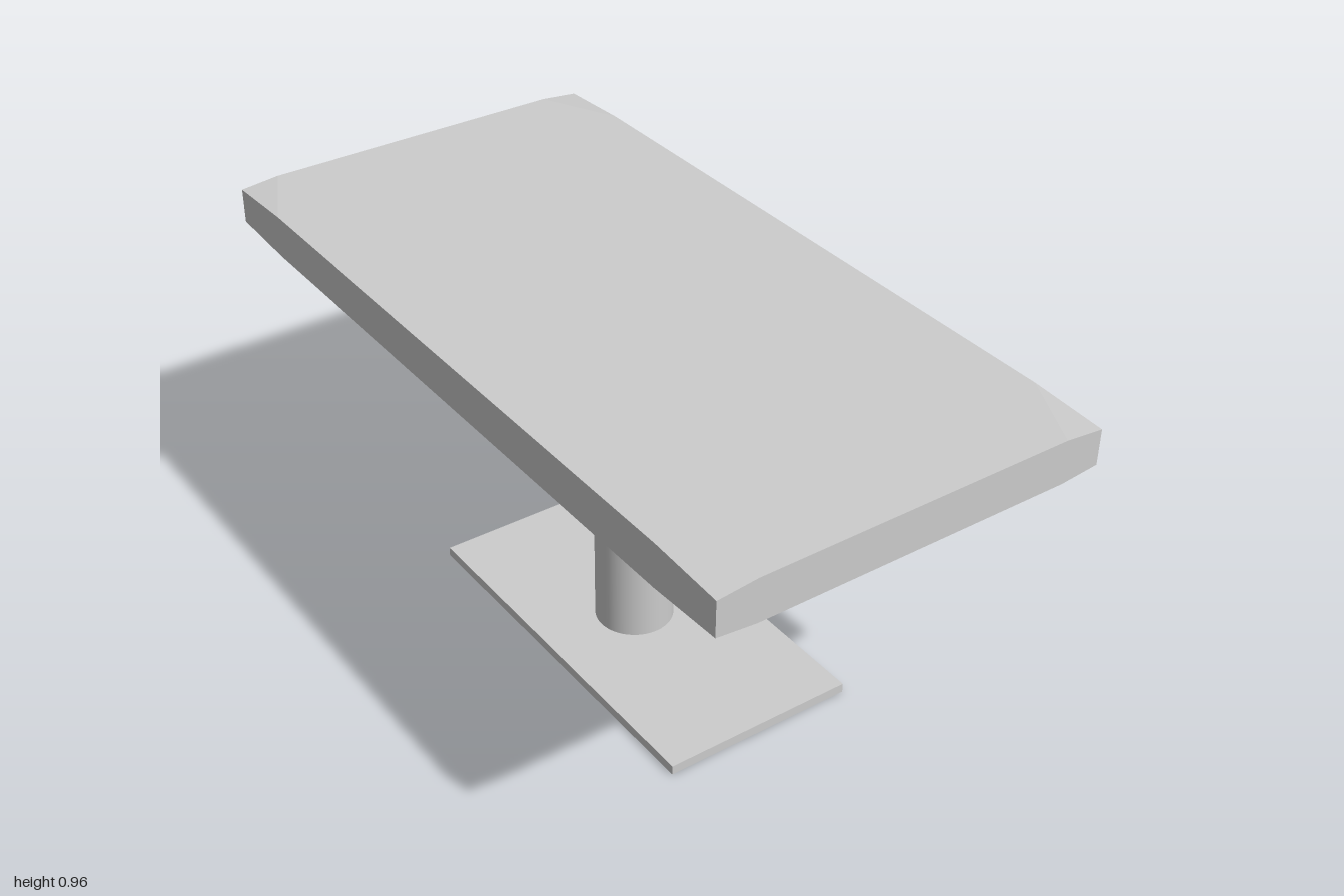
import * as THREE from 'three';
import { ConvexGeometry } from 'three/addons/geometries/ConvexGeometry.js';

export function createModel() {
  const group = new THREE.Group();
  const grey = new THREE.MeshStandardMaterial({ color: 0xcccccc });
  grey.name = 'light grey';

  const add = (name, geometry, x = 0, y = 0, z = 0) => {
    const mesh = new THREE.Mesh(geometry, grey);
    mesh.name = name;
    mesh.position.set(x, y, z);
    group.add(mesh);
  };

  // Tabletop: a slab whose corners are shaved slightly, above and below
  const halfW = 0.5, halfL = 1, halfT = 0.055, shave = 0.01;
  const points = [];
  for (const sx of [-1, 1]) for (const sy of [-1, 1]) for (const sz of [-1, 1]) {
    points.push(
      new THREE.Vector3(sx * (halfW - 0.1), sy * halfT, sz * halfL),
      new THREE.Vector3(sx * halfW, sy * halfT, sz * (halfL - 0.2)),
      new THREE.Vector3(sx * halfW, sy * (halfT - shave), sz * halfL)
    );
  }
  add('tabletop', new ConvexGeometry(points), 0, 0.905, 0);

  // Round post, slightly off centre
  add('post', new THREE.CylinderGeometry(0.1, 0.1, 0.825, 48), 0.009, 0.4375, 0);

  // Flat foot plate
  add('footPlate', new THREE.BoxGeometry(0.512, 0.025, 1.02), 0.009, 0.0125, 0.015);

  return group;
}
